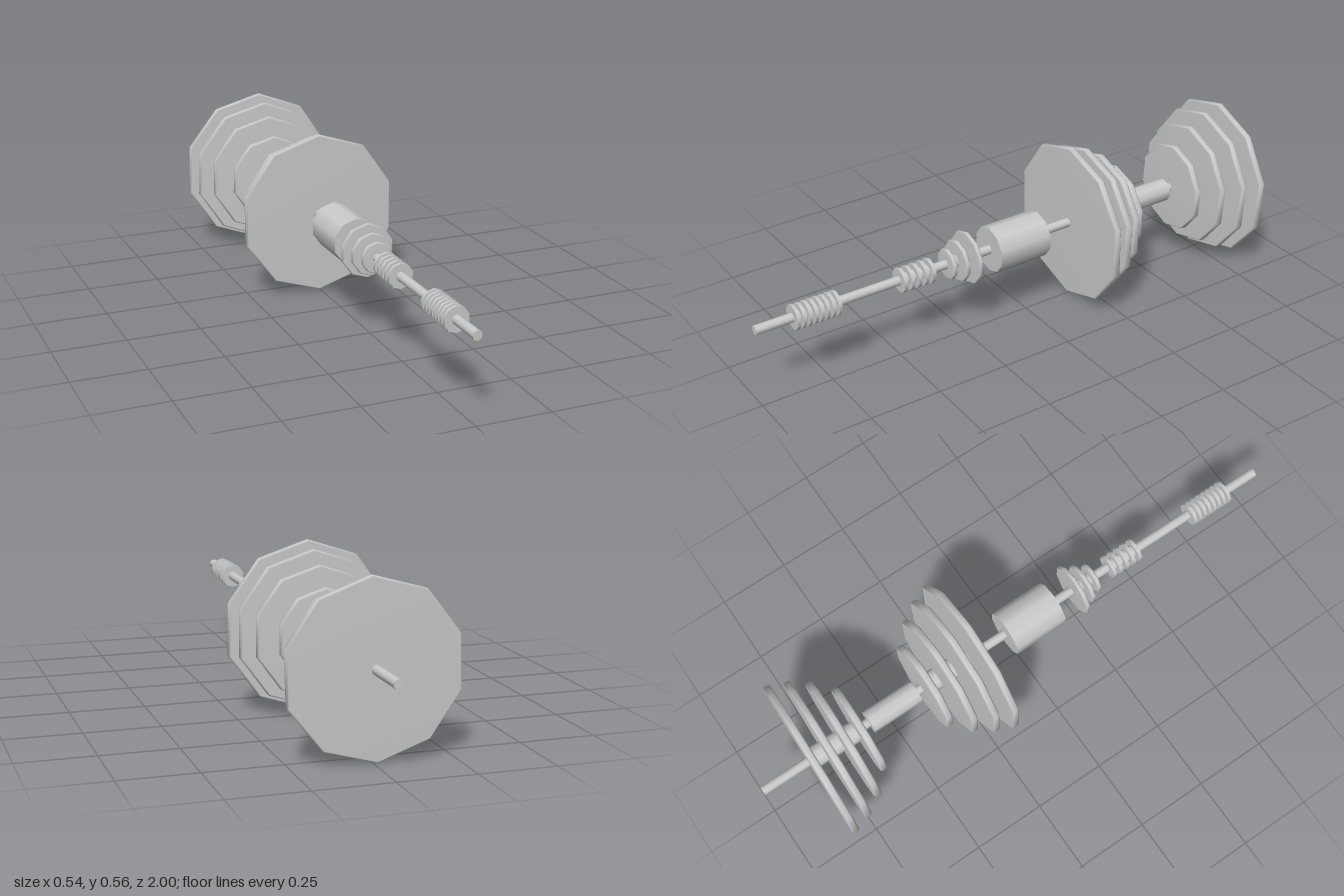
import * as THREE from 'three';

const SIDES = 10;
const material = new THREE.MeshStandardMaterial({ color: 0xcccccc });

// Ten-sided rod lying along z between z0 and z1
function rod(parent, name, radius, z0, z1) {
  const geo = new THREE.CylinderGeometry(radius, radius, Math.abs(z1 - z0), SIDES).rotateX(Math.PI / 2);
  const mesh = new THREE.Mesh(geo, material);
  mesh.name = name;
  mesh.position.z = (z0 + z1) / 2;
  parent.add(mesh);
}

// Ten-sided plate with slightly eased rims, facing z
function plate(parent, name, radius, z, thickness) {
  const h = thickness / 2, b = thickness * 0.2;
  const profile = [[0, -h], [radius - b, -h], [radius, b - h], [radius, h - b], [radius - b, h], [0, h]]
    .map(([x, y]) => new THREE.Vector2(x, y));
  const mesh = new THREE.Mesh(new THREE.LatheGeometry(profile, SIDES).rotateX(Math.PI / 2), material);
  mesh.name = name;
  mesh.position.z = z;
  parent.add(mesh);
}

// Four stacked plates on a hub, largest first; dir is the z direction they shrink in
function plateStack(name, dir) {
  const stack = new THREE.Group();
  stack.name = name;
  [0.28, 0.258, 0.218, 0.157].forEach((r, i) => plate(stack, 'weightPlate', r, dir * (i * 0.061 - 0.0915), 0.026));
  rod(stack, 'plateHub', 0.037, -0.1, 0.1);
  return stack;
}

// Evenly spaced thin ribs on a core
function ribs(parent, name, count, z0, z1, thickness) {
  const group = new THREE.Group();
  group.name = name;
  for (let i = 0; i < count; i++) {
    const z = z0 + (z1 - z0) * i / (count - 1);
    rod(group, 'rib', 0.042, z - thickness / 2, z + thickness / 2);
  }
  rod(group, 'ribCore', 0.022, z0, z1);
  parent.add(group);
}

export function createModel() {
  const model = new THREE.Group();
  model.name = 'steppedAxle';
  model.position.set(-0.003, 0.282, 0);

  // Long shaft and its sleeves
  rod(model, 'shaft', 0.016, -1, 1);
  rod(model, 'largeSleeve', 0.08, -0.05, 0.145);
  rod(model, 'middleSleeve', 0.04, -0.592, -0.406);

  // Plate stacks, the rear one sitting slightly askew
  const front = plateStack('frontPlates', -1);
  front.position.z = -0.28;
  const rear = plateStack('rearPlates', 1);
  rear.position.z = -0.722;
  rear.rotation.set(-0.025, -0.026, -0.045);
  model.add(front, rear);

  // Small stepped discs
  [[0.092, 0.231], [0.072, 0.269], [0.053, 0.306]].forEach(([r, z]) => plate(model, 'smallDisc', r, z, 0.016));
  rod(model, 'discHub', 0.023, 0.225, 0.312);

  // Ribbed sections toward the front tip
  ribs(model, 'innerRibs', 5, 0.379, 0.485, 0.012);
  ribs(model, 'outerRibs', 8, 0.722, 0.866, 0.011);

  const root = new THREE.Group();
  root.add(model);
  return root;
}
